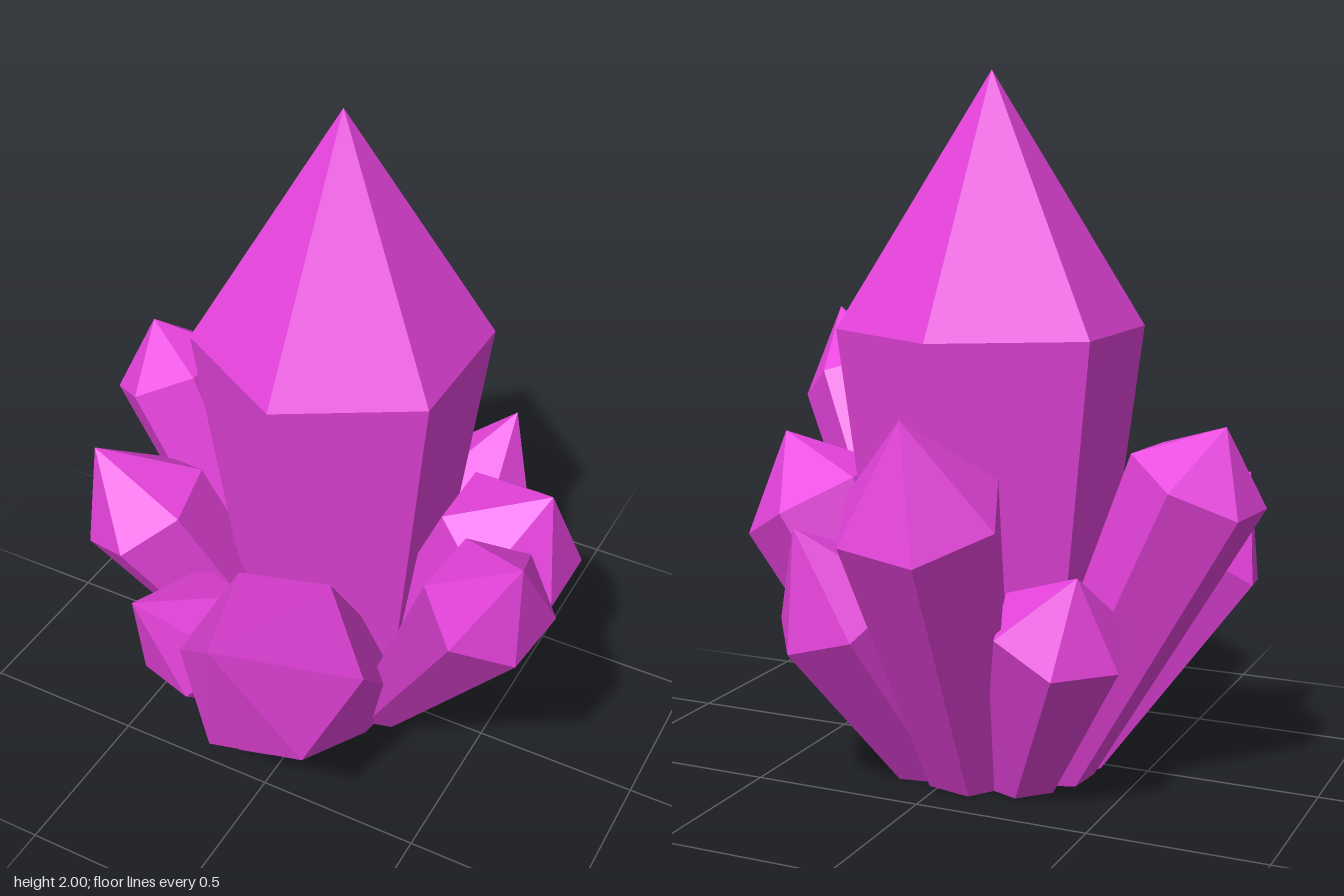
import * as THREE from 'three';

const SIDES = 6;
const V = (p) => new THREE.Vector3(...p);

// Six-sided crystal: flaring shaft cut flat at the ground, then a pointed cap.
// shoulder = fraction of the axis where the cap begins, spin in degrees.
function crystalGeometry({ base, tip, shoulder, radius, spin = 0, taper = 0.55 }) {
  const foot = V(base), apex = V(tip);
  const axis = apex.clone().sub(foot).normalize();
  const u = new THREE.Vector3(0, 1, 0).cross(axis);
  if (u.length() < 1e-4) u.set(0, 0, 1);
  u.normalize();
  const w = axis.clone().cross(u);
  const mid = foot.clone().lerp(apex, shoulder);
  const ring = (centre, r, k) => {
    const a = THREE.MathUtils.degToRad(spin) + (k * Math.PI * 2) / SIDES;
    return centre.clone().addScaledVector(u, r * Math.cos(a)).addScaledVector(w, r * Math.sin(a));
  };

  const upper = [], lower = [];
  for (let k = 0; k < SIDES; k++) {
    const b = ring(mid, radius, k);
    const a = ring(foot, radius * taper, k);
    // slide each long edge until it meets y = 0
    upper.push(b);
    lower.push(b.clone().lerp(a, b.y / (b.y - a.y)));
  }
  const centre = lower.reduce((s, p) => s.add(p), new THREE.Vector3()).divideScalar(SIDES);

  const points = [];
  for (let k = 0; k < SIDES; k++) {
    const n = (k + 1) % SIDES;
    points.push(lower[k], lower[n], upper[n], lower[k], upper[n], upper[k]); // shaft
    points.push(upper[k], upper[n], apex); // cap
    points.push(lower[n], lower[k], centre); // underside
  }
  const geometry = new THREE.BufferGeometry().setFromPoints(points);
  geometry.computeVertexNormals();
  return geometry;
}

const CRYSTALS = {
  mainCrystal: { base: [-0.05, 0, -0.1], tip: [-0.05, 2, -0.1], shoulder: 0.642, radius: 0.44, taper: 0.62 },
  tallLeftFrontCrystal: { base: [0.165, 0, 0.05], tip: [0.8, 1.25, 0.56], shoulder: 0.815, radius: 0.18, spin: 30, taper: 0.42 },
  leftCrystal: { base: [0.1, 0, -0.1], tip: [0.63, 0.94, -0.1], shoulder: 0.787, radius: 0.237 },
  rightFrontCrystal: { base: [-0.24, 0, 0], tip: [-0.72, 0.86, 0.24], shoulder: 0.74, radius: 0.212, spin: -18 },
  rightCrystal: { base: [-0.25, 0, -0.13], tip: [-0.77, 1.06, -0.19], shoulder: 0.855, radius: 0.2 },
  rightBackCrystal: { base: [-0.19, 0, -0.23], tip: [-0.47, 0.69, -0.5], shoulder: 0.75, radius: 0.195 },
  backCrystal: { base: [-0.06, 0, -0.25], tip: [-0.095, 1.12, -0.77], shoulder: 0.765, radius: 0.235, spin: -14 },
  leftBackCrystal: { base: [0.06, 0, -0.22], tip: [0.3, 0.78, -0.63], shoulder: 0.69, radius: 0.205, spin: -28 },
  broadFrontCrystal: { base: [0.06, 0, -0.02], tip: [0.06, 0.89, 0.86], shoulder: 0.645, radius: 0.285, spin: 11 },
  shortFrontCrystal: { base: [-0.17, 0, 0.05], tip: [-0.41, 0.6, 0.54], shoulder: 0.62, radius: 0.205, spin: 8 },
  smallCrystal: { base: [-0.08, -0.1, 0.1], tip: [-0.11, 0.21, 0.53], shoulder: 0.63, radius: 0.108, spin: 15 },
};

export function createModel() {
  const group = new THREE.Group();
  group.name = 'crystalCluster';
  const material = new THREE.MeshStandardMaterial({ color: 0xe643dc, flatShading: true });
  for (const [name, spec] of Object.entries(CRYSTALS)) {
    const mesh = new THREE.Mesh(crystalGeometry(spec), material);
    mesh.name = name;
    group.add(mesh);
  }
  return group;
}
